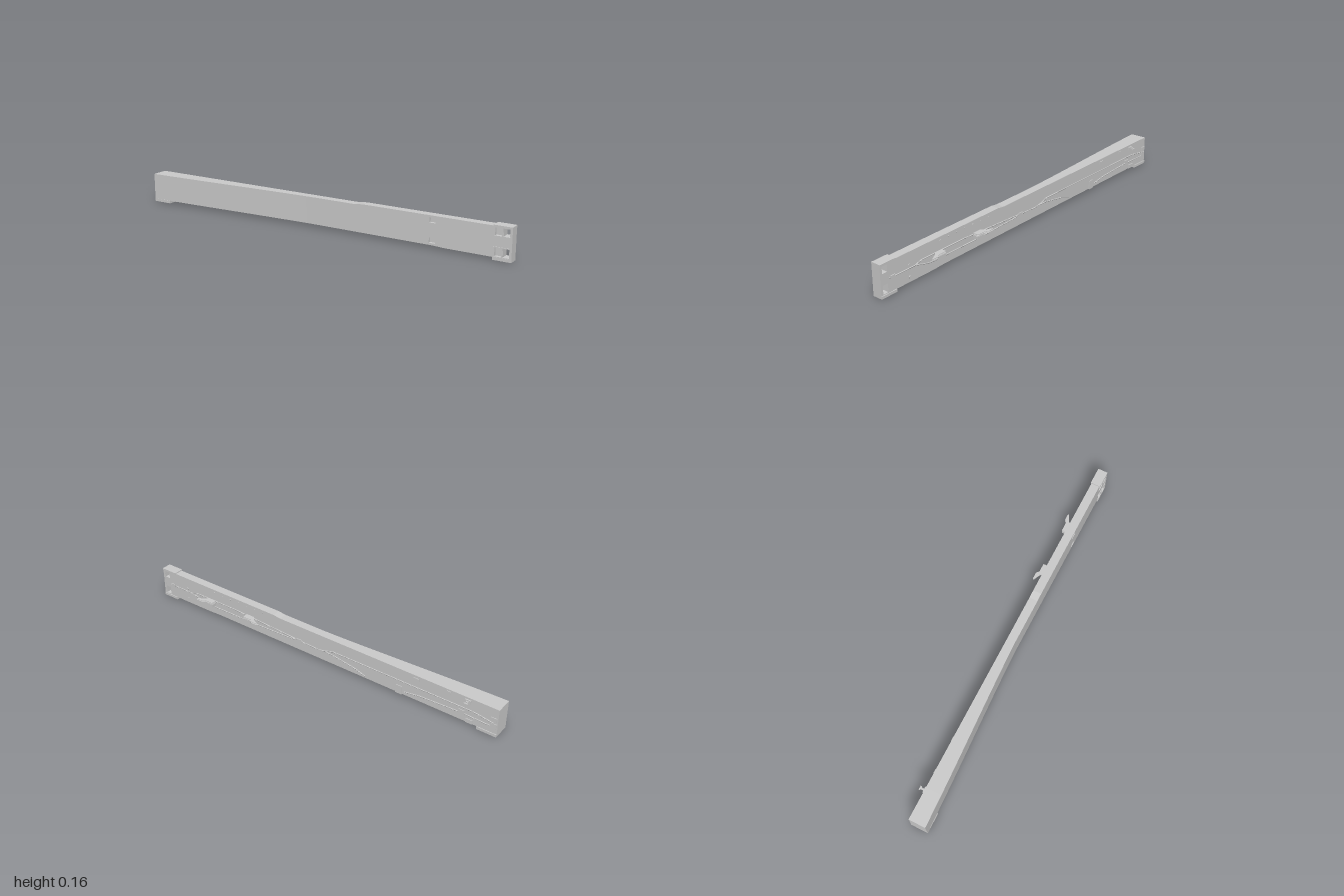
import * as THREE from 'three';

const BACK = -0.021, FRONT = 0.022;

export function createModel() {
  const model = new THREE.Group();
  const mat = new THREE.MeshStandardMaterial({ color: 0xcccccc, flatShading: true });

  const add = (name, geo, parent = model) => {
    const mesh = new THREE.Mesh(geo, mat);
    mesh.name = name;
    parent.add(mesh);
    return mesh;
  };
  // box given by its limits on each axis
  const box = (name, x0, x1, y0, y1, z0, z1, parent) =>
    add(name, new THREE.BoxGeometry(x1 - x0, y1 - y0, z1 - z0), parent)
      .position.set((x0 + x1) / 2, (y0 + y1) / 2, (z0 + z1) / 2);
  // flat panel in the xy plane, with rectangular holes [x0, x1, y0, y1]
  const panel = (name, points, holes, z0, z1) => {
    const shape = new THREE.Shape(points.map(p => new THREE.Vector2(...p)));
    for (const [x0, x1, y0, y1] of holes) {
      shape.holes.push(new THREE.Path([[x0, y0], [x0, y1], [x1, y1], [x1, y0]]
        .map(p => new THREE.Vector2(...p))));
    }
    const geo = new THREE.ExtrudeGeometry(shape, { depth: z1 - z0, bevelEnabled: false });
    add(name, geo.translate(0, 0, z0));
  };

  // thick half of the beam: the front face swells toward -x
  const thick = new THREE.BoxGeometry(1.14, 0.135, 1, 28, 1, 1).translate(-0.43, 0.0825, 0);
  const pos = thick.attributes.position;
  for (let i = 0; i < pos.count; i++) {
    const t = THREE.MathUtils.clamp((-0.03 - pos.getX(i)) / 0.97, 0, 1);
    const swell = 0.65 * t + 0.35 * t * t * (3 - 2 * t);
    pos.setZ(i, pos.getZ(i) < 0 ? BACK : FRONT + 0.042 * swell);
  }
  thick.computeVertexNormals();
  add('taperedBeam', thick);
  box('foot', -1, -0.9, 0.002, 0.016, -0.025, 0.064);

  // slim half: front skin with pockets, solid backing, through windows at the tip
  const outline = [[0.14, 0.015], [0.62, 0.015], [0.68, 0.012], [0.995, 0.012],
    [0.995, 0.156], [0.25, 0.155], [0.21, 0.15], [0.14, 0.15]];
  const rows = [[0.017, 0.058], [0.113, 0.152]];
  const windows = rows.map(r => [0.958, 0.987, ...r]);
  const pockets = [...rows.map(r => [0.918, 0.95, ...r]),
    [0.6, 0.632, 0.025, 0.05], [0.6, 0.632, 0.121, 0.146]];
  panel('frontSkin', outline, [...windows, ...pockets], 0.008, FRONT);
  panel('backing', outline, windows, BACK, 0.008);

  // end fitting
  box('topFlange', 0.91, 1, 0.15, 0.161, -0.025, 0.026);
  box('bottomFlange', 0.91, 1, 0, 0.013, -0.025, 0.026);
  box('endPlate', 0.99, 1, 0.006, 0.155, -0.022, 0.026);
  for (const [y0, y1] of rows) {
    box('windowSill', 0.91, 0.99, y0 - 0.005, y0, FRONT - 0.004, 0.025);
    box('windowLintel', 0.91, 0.99, y1, y1 + 0.004, FRONT - 0.004, 0.025);
    box('windowPost', 0.951, 0.957, y0, y1, FRONT - 0.004, 0.025);
  }

  // cables lying along the back
  const cables = [
    [[0.95, 0.08], [0.8, 0.078], [0.76, 0.09], [0.5, 0.09], [0.1, 0.07]],
    [[0.79, 0.077], [0.72, 0.058], [0.68, 0.054], [0.4, 0.055], [0.15, 0.062], [0.1, 0.068]],
    [[0.1, 0.068], [-0.04, 0.064], [-0.11, 0.086], [-0.5, 0.086], [-0.88, 0.086], [-0.98, 0.07]],
    [[-0.06, 0.068], [-0.11, 0.066], [-0.24, 0.045], [-0.3, 0.025]],
    [[-0.52, 0.032], [-0.6, 0.045], [-0.82, 0.055], [-0.98, 0.05]],
  ];
  for (const points of cables) {
    const path = new THREE.CurvePath();
    for (let i = 1; i < points.length; i++) {
      path.add(new THREE.LineCurve3(new THREE.Vector3(...points[i - 1], BACK),
        new THREE.Vector3(...points[i], BACK)));
    }
    add('cable', new THREE.TubeGeometry(path, 40, 0.003, 6));
  }

  // mirrored pair of wedge brackets on the back
  for (const side of [-1, 1]) {
    const bracket = new THREE.Group();
    bracket.name = 'bracket';
    bracket.position.x = 0.53;
    const at = (a, b) => side > 0 ? [a, b] : [-b, -a];
    box('bracketBlock', ...at(0.105, 0.15), 0.065, 0.081, -0.049, BACK, bracket);
    const wedge = new THREE.Shape([[0.105, 0.021], [0.15, 0.021], [0.165, 0.04],
      [0.2, 0.057], [0.2, 0.062], [0.165, 0.062], [0.15, 0.05], [0.105, 0.05]]
      .map(([x, z]) => new THREE.Vector2(side * x, z)));
    for (const y of [0.093, 0.086]) {
      add('wedgePlate', new THREE.ExtrudeGeometry(wedge, { depth: 0.003, bevelEnabled: false })
        .rotateX(-Math.PI / 2).translate(0, y - 0.003, 0), bracket);
    }
    box('bracketRib', ...at(0.12, 0.126), 0.08, 0.09, -0.045, BACK, bracket);
    model.add(bracket);
  }

  // small fittings on the back: x, y, width, height
  const fittings = [
    [0.93, 0.08, 0.025, 0.016], [0.09, 0.068, 0.03, 0.018], [-0.04, 0.062, 0.018, 0.014],
    [-0.49, 0.035, 0.034, 0.045], [-0.58, 0.13, 0.03, 0.014], [-0.75, 0.136, 0.02, 0.01],
    [-0.82, 0.056, 0.03, 0.03], [-0.86, 0.025, 0.035, 0.02], [-0.98, 0.055, 0.028, 0.028],
    [-0.98, 0.09, 0.028, 0.022],
  ];
  for (const [x, y, w, h] of fittings)
    box('fitting', x - w / 2, x + w / 2, y - h / 2, y + h / 2, -0.0245, BACK);

  // row of studs near the upper edge, and two rings near the tip
  const stud = (name, x, y, r) => add(name, new THREE.CylinderGeometry(r, r, 0.004, 10)
    .rotateX(Math.PI / 2)).position.set(x, y, BACK - 0.001);
  for (let i = 0; i < 7; i++) stud('stud', 0.64 - i * 0.053, 0.138, 0.003);
  for (const y of [0.037, 0.094]) stud('ring', 0.83, y, 0.007);

  // small hook near the thick end
  box('hookArm', -0.853, -0.843, 0.13, 0.135, -0.049, BACK);
  box('hookTip', -0.858, -0.838, 0.126, 0.134, -0.049, -0.043);
  box('hookPin', -0.85, -0.845, 0.134, 0.141, -0.042, -0.034);
  box('hookBase', -0.862, -0.832, 0.122, 0.14, -0.027, BACK);
  return model;
}
